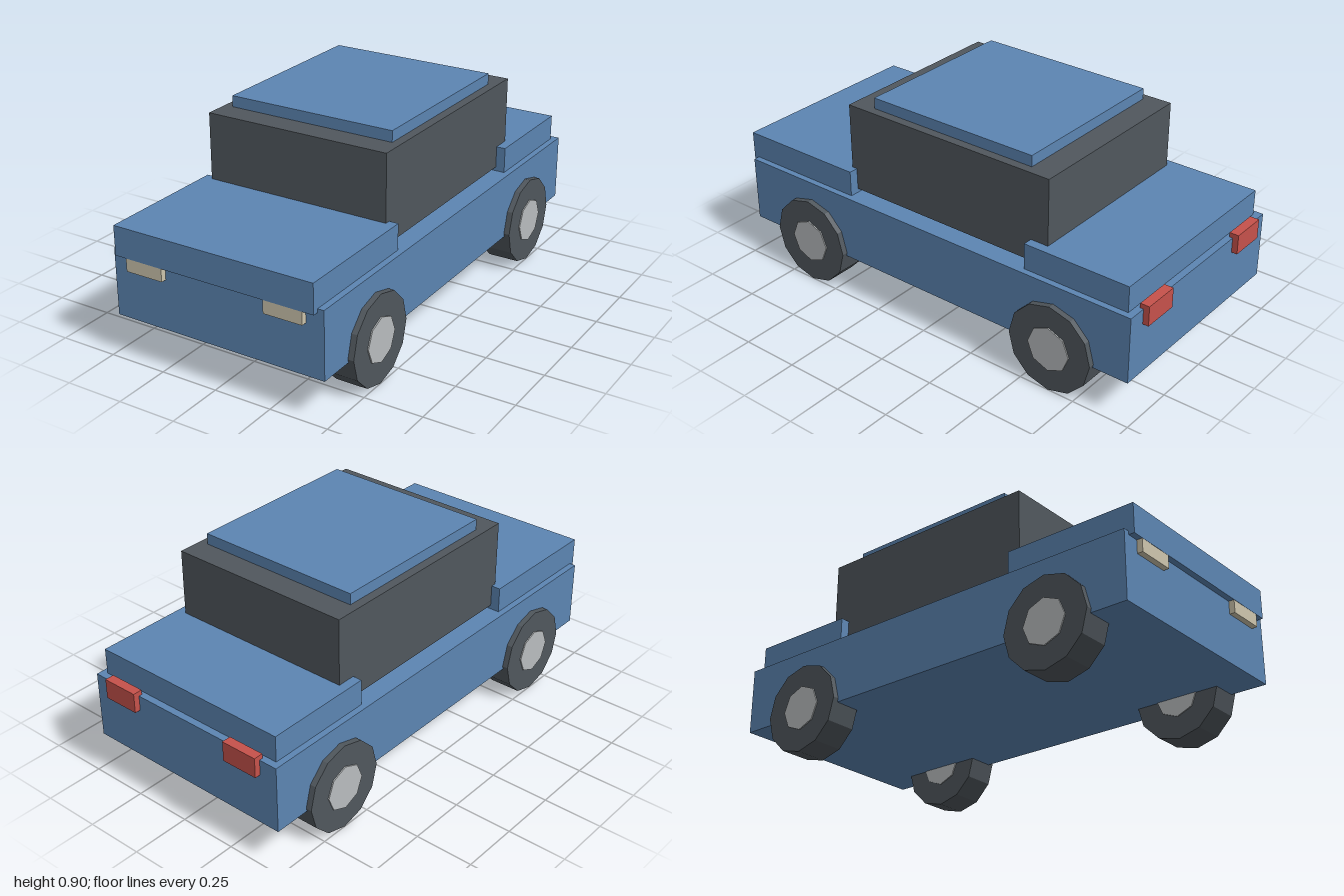
import * as THREE from 'three';

const paint = new THREE.MeshStandardMaterial({ name: 'blue paint', color: 0x5c85b2 });
const dark = new THREE.MeshStandardMaterial({ name: 'dark glass and rubber', color: 0x50575d });
const metal = new THREE.MeshStandardMaterial({ name: 'light metal', color: 0xb9bdbf });
const cream = new THREE.MeshStandardMaterial({ name: 'cream lamp', color: 0xcdc5ad });
const red = new THREE.MeshStandardMaterial({ name: 'red lamp', color: 0xc6524b });
for (const m of [paint, dark, metal, cream, red]) m.flatShading = true;

export function createModel() {
  const car = new THREE.Group();
  car.name = 'car';

  // Box given by its extents on each axis
  const box = (name, material, [x0, x1], [y0, y1], [z0, z1]) => {
    const mesh = new THREE.Mesh(new THREE.BoxGeometry(x1 - x0, y1 - y0, z1 - z0), material);
    mesh.position.set((x0 + x1) / 2, (y0 + y1) / 2, (z0 + z1) / 2);
    mesh.name = name;
    car.add(mesh);
  };

  // Bodywork
  box('body', paint, [-0.475, 0.475], [0.175, 0.46], [-0.975, 0.975]);
  box('hood', paint, [-0.448, 0.448], [0.445, 0.57], [0.423, 1]);
  box('trunk', paint, [-0.448, 0.448], [0.445, 0.57], [-0.945, -0.473]);
  box('cabin', dark, [-0.408, 0.408], [0.477, 0.853], [-0.553, 0.447]);
  box('roof', paint, [-0.37, 0.37], [0.84, 0.9], [-0.445, 0.342]);

  // Lamps
  for (const [side, s] of [['left', 1], ['right', -1]]) {
    const span = (a, b) => (s > 0 ? [a, b] : [-b, -a]);
    box(side + 'Headlight', cream, span(0.23, 0.398), [0.39, 0.475], [0.96, 0.999]);
    box(side + 'Taillight', red, span(0.235, 0.395), [0.395, 0.48], [-1, -0.96]);
  }

  // Wheels: a twelve-sided tyre with an eight-sided hub passing through it
  const tyreGeometry = new THREE.CylinderGeometry(0.19, 0.19, 0.136, 12).rotateZ(Math.PI / 2);
  const hubGeometry = new THREE.CylinderGeometry(0.096, 0.096, 0.146, 8).rotateZ(Math.PI / 2);
  for (const z of [0.632, -0.632]) {
    for (const s of [1, -1]) {
      const wheel = new THREE.Group();
      wheel.name = (z > 0 ? 'front' : 'rear') + (s > 0 ? 'Left' : 'Right') + 'Wheel';
      const tyre = new THREE.Mesh(tyreGeometry, dark);
      tyre.name = 'tyre';
      const hub = new THREE.Mesh(hubGeometry, metal);
      hub.name = 'hub';
      wheel.add(tyre, hub);
      wheel.position.set(s * 0.432, 0.19, z);
      car.add(wheel);
    }
  }
  return car;
}
